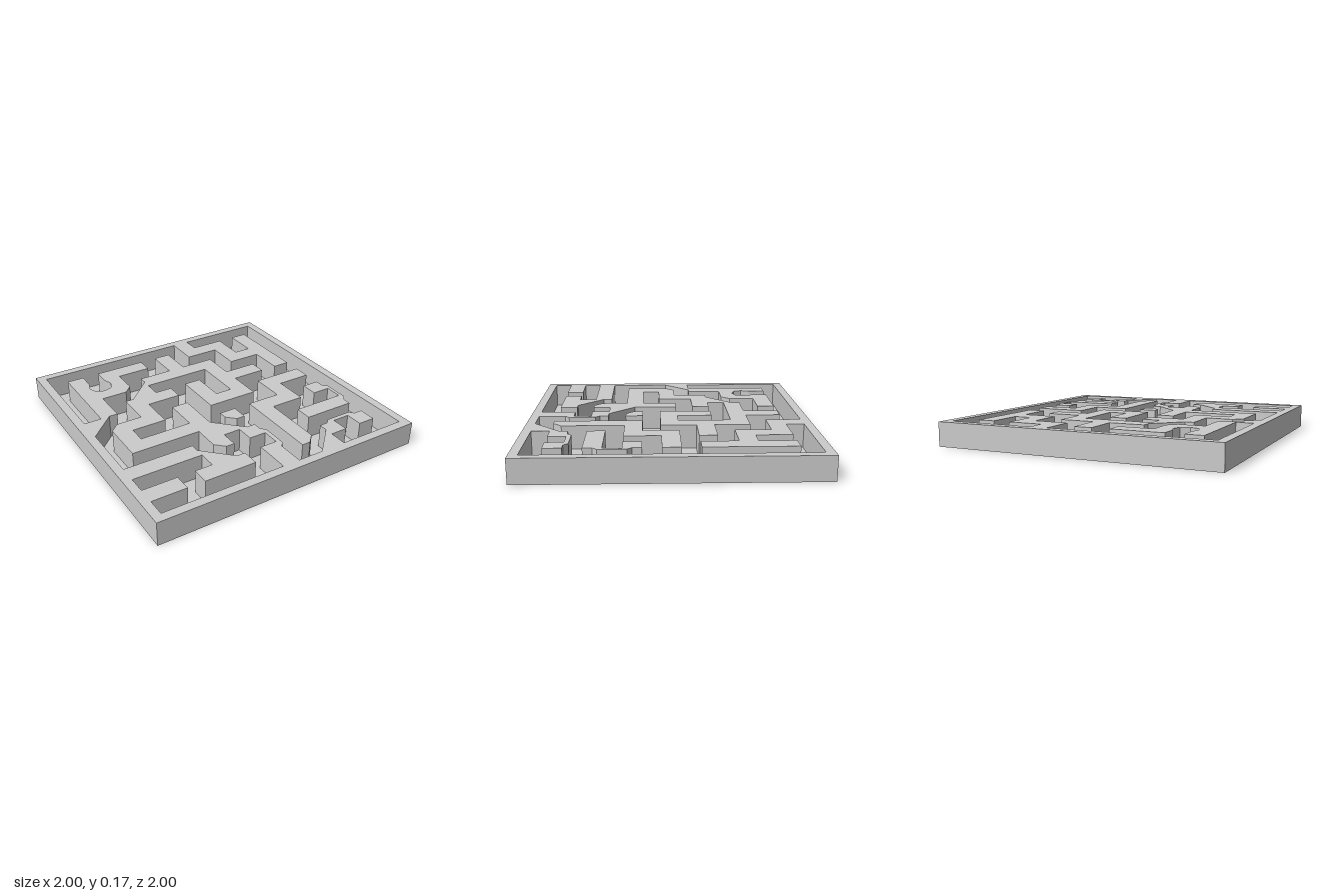
import * as THREE from 'three';

const HEIGHT = 0.17;
const CELL = 0.125; // passages and walls are both one cell wide

// Flat list of grid coordinates -> points (x, z)
function outline(list) {
  const points = [];
  for (let i = 0; i < list.length; i += 2) {
    points.push(new THREE.Vector2(list[i] * CELL - 0.9375, list[i + 1] * CELL - 0.9375));
  }
  return points;
}

// Walls that grow from the rim, each traced from rim to rim
const backWall = [
  9, 0, 9, 2, 11, 2, 11, 4, 13, 4, 13, 6, 14, 6, 14, 1, 13, 1, 13, 3, 12, 3, 12, 1, 10, 1, 10, 0,
];
const frontRightWall = [
  11, 15, 11, 14, 12, 14, 12, 13, 13, 13, 13, 14, 14, 14, 14, 13, 13.5, 13, 13.25, 12.75,
  11.75, 12.75, 11.5, 13, 11, 13, 11, 13.5, 9.5, 15,
];
const centralWall = [
  8, 15, 8, 13.5, 8.25, 13.25, 8.25, 11.75, 8, 11.5, 8, 11, 7.5, 11, 6, 9.5, 6, 7, 5, 7, 5, 9,
  2, 9, 2, 8, 4, 8, 4, 6, 6, 6, 6, 5, 5, 5, 5, 4, 9, 4, 9, 7, 8, 7, 8, 5, 7, 5, 7, 8, 10, 8,
  10, 6, 12, 6, 12, 5, 10, 5, 10, 3, 8, 3, 8, 1, 7, 1, 7, 3, 5, 3, 5, 3.5, 3.5, 5, 3, 5, 3, 7,
  1.5, 7, 1, 7.5, 1, 10, 5, 10, 5, 11.5, 5.5, 12, 6, 12, 6, 11, 7, 11, 7, 12, 8, 12, 8, 13,
  7, 13, 7, 15,
];
const frontLeftStub = [0, 14, 2, 14, 2, 13, 0, 13];
const frontLeftWall = [
  0, 12, 4, 12, 4, 13, 3, 13, 3, 14, 6, 14, 6, 13, 5.5, 13, 4, 11.5, 4, 11, 0, 11,
];
const backLeftWall = [
  0, 7.5, 1.5, 6, 2, 6, 2, 4, 3.5, 4, 4, 3.5, 4, 2, 6, 2, 6, 1, 3, 1, 3, 2,
  3.18, 2.5, 3, 3, 2.5, 3.18, 2, 3, 1.82, 2.5, // rounded pocket
  2, 2, 2, 1, 1, 1, 1, 6, 0, 6,
];

// Free-standing walls
const islands = [
  [11, 7, 11, 9, 9, 9, 9, 14, 9.5, 14, 10, 13.5, 10, 10, 12, 10, 12, 8, 14, 8, 14, 7],
  [13, 9, 13, 10, 14.05, 10, 14.05, 11, 11, 11, 11, 12, 14, 12, 14, 11.5, 14.25, 11.25,
    14.25, 9.75, 14, 9.5, 14, 9],
  [7, 9, 7, 9.5, 7.5, 10, 8, 10, 8, 9],
].map(outline);

// Horizontal face with holes, facing up
function flatFace(points, holes, y) {
  const flip = (list) => list.map((p) => new THREE.Vector2(p.x, -p.y));
  const shape = new THREE.Shape(flip(points));
  shape.holes = holes.map((h) => new THREE.Path(flip(h)));
  return new THREE.ShapeGeometry(shape).rotateX(-Math.PI / 2).translate(0, y, 0);
}

// Upright strip along a closed outline
function uprightFaces(points) {
  const positions = [];
  points.forEach((a, i) => {
    const b = points[(i + 1) % points.length];
    positions.push(
      a.x, 0, a.y, b.x, 0, b.y, b.x, HEIGHT, b.y,
      a.x, 0, a.y, b.x, HEIGHT, b.y, a.x, HEIGHT, a.y,
    );
  });
  const geometry = new THREE.BufferGeometry();
  geometry.setAttribute('position', new THREE.Float32BufferAttribute(positions, 3));
  geometry.computeVertexNormals();
  return geometry;
}

export function createModel() {
  const group = new THREE.Group();
  group.name = 'maze';
  // The walls are hollow and open underneath
  const material = new THREE.MeshStandardMaterial({
    color: 0xcccccc, flatShading: true, side: THREE.DoubleSide,
  });
  const add = (name, geometry) => {
    const mesh = new THREE.Mesh(geometry, material);
    mesh.name = name;
    group.add(mesh);
  };

  const edge = [[-1, -1], [-1, 1], [1, 1], [1, -1]].map(([x, z]) => new THREE.Vector2(x, z));
  const passage = outline([
    0, 0, ...backWall, 15, 0, 15, 15, ...frontRightWall, ...centralWall, 0, 15,
    ...frontLeftStub, ...frontLeftWall, ...backLeftWall,
  ]);

  add('outerSides', uprightFaces(edge));
  add('passageFloor', flatFace(passage, islands, 0));
  add('passageSides', uprightFaces(passage));
  add('wallTop', flatFace(edge, [passage], HEIGHT));
  islands.forEach((island, i) => {
    add(`islandTop${i + 1}`, flatFace(island, [], HEIGHT));
    add(`islandSides${i + 1}`, uprightFaces(island));
  });
  return group;
}
